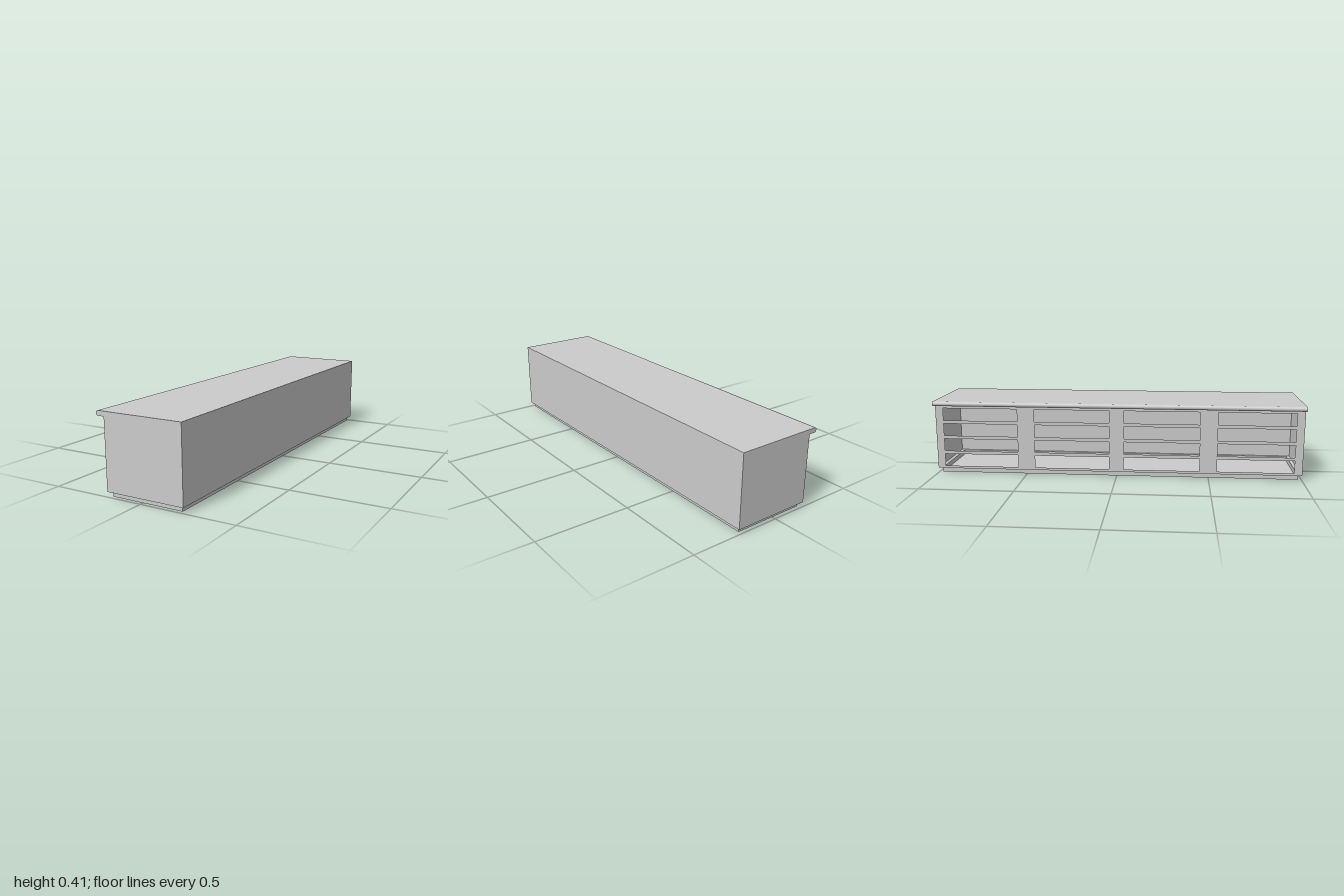
import * as THREE from 'three';

// Long hollow counter: sheet panels, open drawer frame on the -x side
const BACK = 0.235, FACE = -0.19, LIP = -0.235; // x of plain side, frame side, worktop edge
const TOP = 0.409, UNDER = 0.384, BASE = 0.026; // heights
const R = (TOP - UNDER) / 2;                    // worktop edge radius
const PLINTH = { x0: -0.172, x1: 0.218, z: 0.98 };

const material = new THREE.MeshStandardMaterial({ color: 0xcccccc, side: THREE.DoubleSide });

function rectPath(PathType, x0, y0, x1, y1) {
  const p = new PathType();
  p.moveTo(x0, y0);
  p.lineTo(x1, y0);
  p.lineTo(x1, y1);
  p.lineTo(x0, y1);
  p.closePath();
  return p;
}
const rect = (...c) => rectPath(THREE.Shape, ...c);
const hole = (...c) => rectPath(THREE.Path, ...c);

export function createModel() {
  const group = new THREE.Group();
  const add = (name, geometry) => {
    const mesh = new THREE.Mesh(geometry, material);
    mesh.name = name;
    group.add(mesh);
  };
  const sheet = (shape) => new THREE.ShapeGeometry(shape, 16);
  // Sheets facing +x, -x, +y and -y; the shape is drawn in (z, y) or (x, z)
  const facingRight = (shape, x) => sheet(shape).rotateY(Math.PI / 2).translate(x, 0, 0);
  const facingLeft = (shape, x) => sheet(shape).rotateY(-Math.PI / 2).translate(x, 0, 0);
  const facingUp = (shape, y) => sheet(shape).rotateX(-Math.PI / 2).translate(0, y, 0);
  const facingDown = (shape, y) => sheet(shape).rotateX(Math.PI / 2).translate(0, y, 0);

  // End panels, including the rounded end of the worktop
  const end = new THREE.Shape();
  end.moveTo(FACE, BASE);
  end.lineTo(BACK, BASE);
  end.lineTo(BACK, TOP);
  end.lineTo(LIP + R, TOP);
  end.absarc(LIP + R, UNDER + R, R, Math.PI / 2, Math.PI * 1.5, false);
  end.lineTo(FACE, UNDER);
  end.closePath();
  add('frontEndPanel', sheet(end).translate(0, 0, 1));
  add('backEndPanel', sheet(end).rotateY(Math.PI).scale(-1, 1, 1).translate(0, 0, -1));

  // Plain long side and worktop
  add('sidePanel', facingRight(rect(-1, BASE, 1, TOP), BACK));
  add('worktop', facingUp(rect(LIP + R, -1, BACK, 1), TOP));
  add('worktopUnderside', facingDown(rect(LIP + R, -1, FACE, 1), UNDER));
  add('worktopRoundedEdge',
    new THREE.CylinderGeometry(R, R, 2, 16, 1, true, Math.PI, Math.PI)
      .rotateX(Math.PI / 2).translate(LIP + R, UNDER + R, 0));

  // Drawer frame: four bays, each with four openings between thin rails
  const frame = rect(-1, BASE, 1, UNDER);
  const bays = [[-0.957, -0.545], [-0.45, -0.04], [0.04, 0.45], [0.545, 0.957]];
  const rows = 4, rail = 0.018, low = 0.04, high = 0.366;
  const opening = (high - low - rail * (rows - 1)) / rows;
  for (const [z0, z1] of bays) {
    for (let i = 0; i < rows; i++) {
      const y = low + i * (opening + rail);
      frame.holes.push(hole(z0, y, z1, y + opening));
    }
  }
  add('drawerFrame', facingLeft(frame, FACE));

  // Ledge between the body and the recessed plinth
  const { x0, x1, z } = PLINTH;
  const ledge = rect(FACE, -1, BACK, 1);
  ledge.holes.push(hole(x0, -z, x1, z));
  add('bottomLedge', facingDown(ledge, BASE));

  // Plinth walls and floor
  add('plinthRight', facingRight(rect(-z, 0, z, BASE), x1));
  add('plinthLeft', facingLeft(rect(-z, 0, z, BASE), x0));
  add('plinthFront', sheet(rect(x0, 0, x1, BASE)).translate(0, 0, z));
  add('plinthBack', sheet(rect(-x1, 0, -x0, BASE)).rotateY(Math.PI).translate(0, 0, -z));
  add('floor', facingDown(rect(x0, -z, x1, z), 0));

  return group;
}
